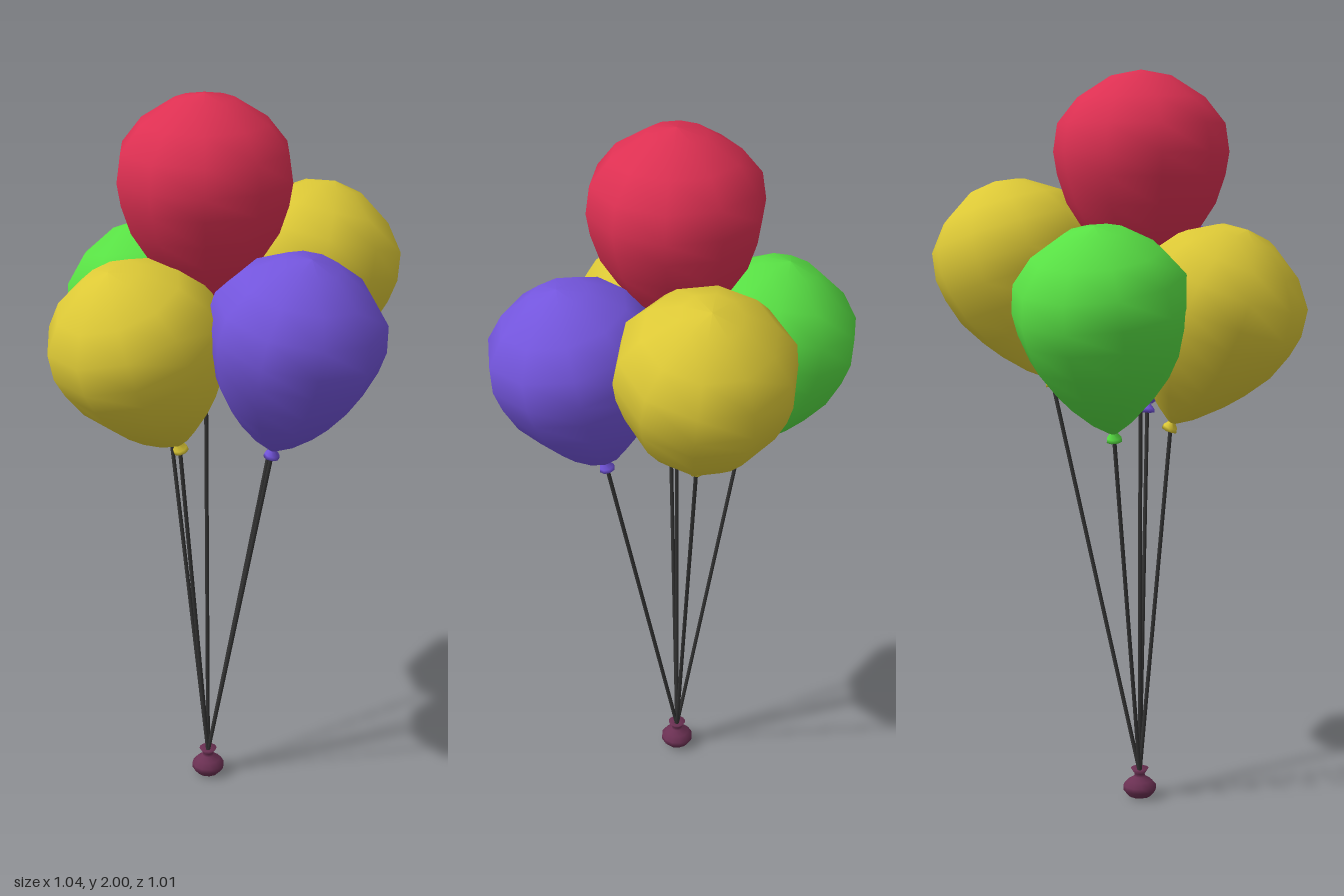
import * as THREE from 'three';

const BASE = new THREE.Vector3(-0.077, 0.07, -0.01);
const DEG = Math.PI / 180;
const mat = (color) => new THREE.MeshStandardMaterial({ color });

// Surface of revolution from [radius, height] pairs, bottom to top
const lathe = (profile, sides) =>
  new THREE.LatheGeometry(profile.map(([r, y]) => new THREE.Vector2(r, y)), sides);

function named(name, geometry, material) {
  const mesh = new THREE.Mesh(geometry, material);
  mesh.name = name;
  return mesh;
}

// tip: lower end of the balloon skin; lean and yaw in degrees
const BALLOONS = [
  { name: 'topBalloon', color: 0xdd3052, tip: [-0.077, 1.44, -0.01], leanX: 0, leanZ: 0, yaw: 0 },
  { name: 'leftBalloon', color: 0xdcc836, tip: [0.19, 1.17, -0.01], leanX: 0, leanZ: -17.5, yaw: 0 },
  { name: 'rightBalloon', color: 0xdcc836, tip: [-0.17, 1.065, -0.01], leanX: 0, leanZ: 22, yaw: 0 },
  { name: 'frontBalloon', color: 0x7355dc, tip: [-0.012, 1.08, 0.2], leanX: 12.5, leanZ: 0, yaw: 12 },
  { name: 'backBalloon', color: 0x58e044, tip: [-0.075, 1.055, -0.19], leanX: -13, leanZ: 0, yaw: 0 },
];

export function createModel() {
  const model = new THREE.Group();
  model.name = 'balloonBunch';

  const skin = lathe([
    [0.012, 0], [0.06, 0.035], [0.115, 0.09], [0.155, 0.14], [0.2, 0.21], [0.225, 0.285],
    [0.235, 0.345], [0.224, 0.42], [0.17, 0.488], [0.08, 0.545], [0, 0.56],
  ], 10);
  const knot = lathe([[0, -0.027], [0.022, -0.024], [0.02, -0.014], [0.009, 0], [0.012, 0.008]], 8);
  const stringMaterial = mat(0x333333);

  for (const { name, color, tip, leanX, leanZ, yaw } of BALLOONS) {
    // Balloon with its tied end
    const balloon = new THREE.Group();
    balloon.name = name;
    const material = mat(color);
    balloon.add(named('skin', skin, material), named('knot', knot, material));
    balloon.position.set(...tip);
    balloon.rotation.set(leanX * DEG, yaw * DEG, leanZ * DEG, 'YXZ');
    model.add(balloon);

    // Straight string from the weight to the knot
    const end = new THREE.Vector3(0, -0.012, 0).applyEuler(balloon.rotation).add(balloon.position);
    const span = end.clone().sub(BASE);
    const string = named(name + 'String',
      new THREE.CylinderGeometry(0.0055, 0.0055, span.length(), 6), stringMaterial);
    string.position.copy(BASE).addScaledVector(span, 0.5);
    string.quaternion.setFromUnitVectors(new THREE.Vector3(0, 1, 0), span.normalize());
    model.add(string);
  }

  // Gathered bag weight at the bottom
  const weight = named('weight', lathe([
    [0, 0], [0.032, 0.003], [0.046, 0.02], [0.046, 0.033], [0.034, 0.047],
    [0.016, 0.058], [0.014, 0.066], [0.025, 0.082], [0, 0.074],
  ], 12), mat(0x6a3052));
  weight.position.set(BASE.x, 0, BASE.z);
  model.add(weight);

  return model;
}
